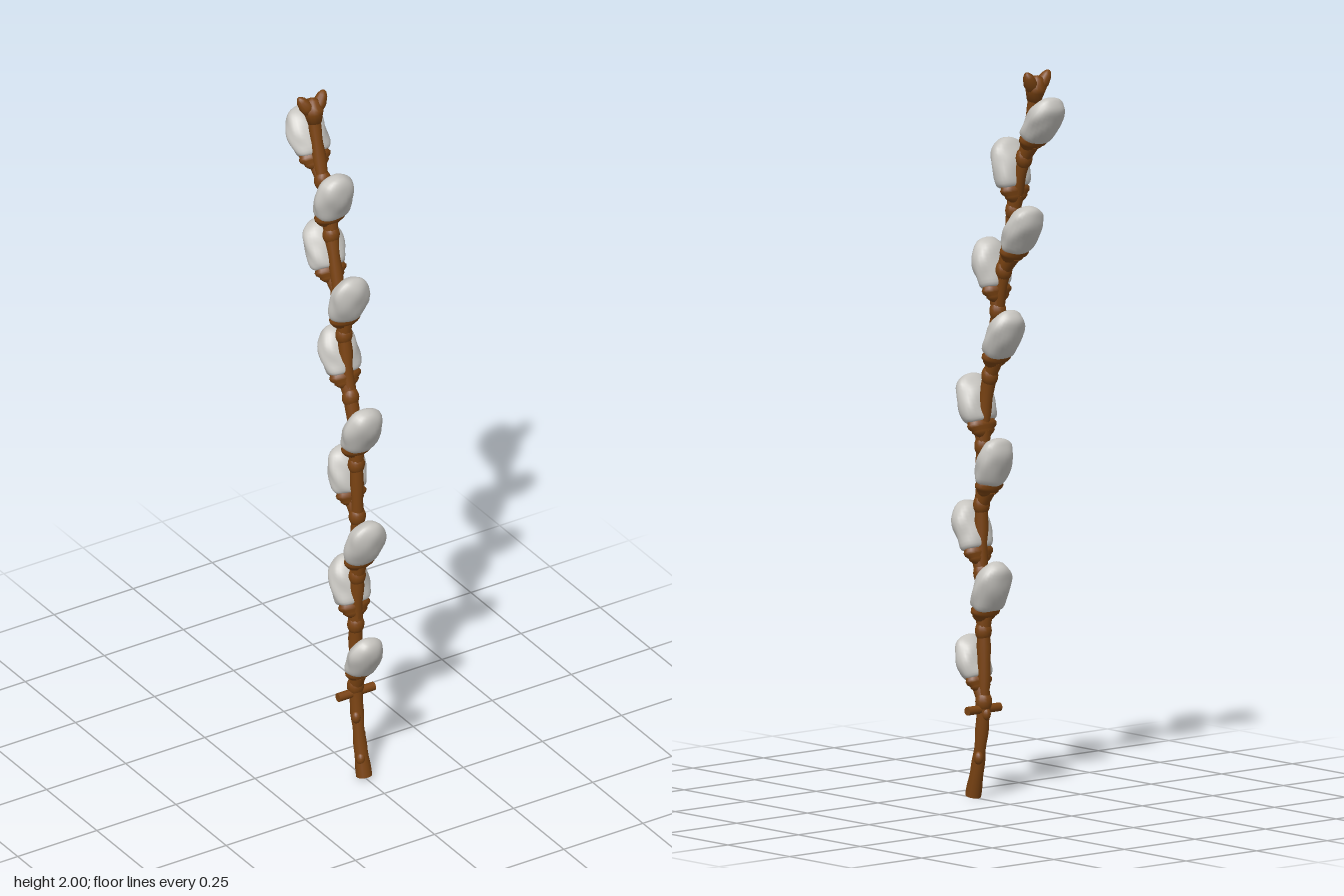
import * as THREE from 'three';
import { mergeVertices } from 'three/addons/utils/BufferGeometryUtils.js';

const bark = new THREE.MeshStandardMaterial({ color: 0x7a4312 });
bark.name = 'brown bark';
const fur = new THREE.MeshStandardMaterial({ color: 0xc6c4bf });
fur.name = 'silver fur';

// stem centre line, as [y, z]
const path = new THREE.CatmullRomCurve3(
  [[0.007, 0.15], [0.12, 0.125], [0.25, 0.108], [0.4, 0.106], [0.6, 0.115], [0.78, 0.116], [0.97, 0.11], [1.1, 0.095],
    [1.2, 0.07], [1.34, 0.048], [1.5, 0.012], [1.66, -0.027], [1.79, -0.066], [1.92, -0.098], [1.96, -0.105]]
    .map(([y, z]) => new THREE.Vector3(0, y, z)));

function stemZ(y) {
  let lo = 0, hi = 1;
  for (let i = 0; i < 24; i++) {
    const mid = (lo + hi) / 2;
    if (path.getPoint(mid).y < y) lo = mid; else hi = mid;
  }
  return path.getPoint(lo).z;
}

function mesh(name, geometry, material, parent) {
  const m = new THREE.Mesh(geometry, material);
  m.name = name;
  parent.add(m);
  return m;
}

const lathe = (pts, n) => new THREE.LatheGeometry(pts.map(([r, y]) => new THREE.Vector2(r, y)), n);

// tapered tube: radius(t) sets the thickness along the curve, with closed ends
function branch(name, curve, rings, sides, radius, parent) {
  const g = new THREE.TubeGeometry(curve, rings, 1, sides);
  const p = g.attributes.position, v = new THREE.Vector3();
  for (let i = 0; i < p.count; i++) {
    const t = Math.floor(i / (sides + 1)) / rings;
    const c = curve.getPointAt(t);
    v.fromBufferAttribute(p, i).sub(c).multiplyScalar(radius(t)).add(c);
    p.setXYZ(i, v.x, v.y, v.z);
  }
  mesh(name, g, bark, parent);
  for (const t of [0, 1]) {
    const cap = mesh(name + 'End', new THREE.CircleGeometry(radius(t), sides), bark, parent);
    cap.position.copy(curve.getPointAt(t));
    const dir = curve.getTangentAt(t).multiplyScalar(t ? 1 : -1);
    cap.quaternion.setFromUnitVectors(new THREE.Vector3(0, 0, 1), dir);
  }
}

// furry catkin: blunt base, rounded tip, broad in x, with soft lumps
function catkinGeometry(seed) {
  const profile = new THREE.SplineCurve([[0, -0.066], [0.034, -0.065], [0.05, -0.056], [0.056, -0.03], [0.058, 0],
    [0.054, 0.028], [0.042, 0.052], [0.022, 0.067], [0, 0.071]].map(a => new THREE.Vector2(...a)));
  let g = new THREE.LatheGeometry(profile.getPoints(22).map(q => q.setX(Math.max(q.x, 0))), 28);
  g.deleteAttribute('uv');
  g.deleteAttribute('normal');
  g = mergeVertices(g, 1e-5);
  const p = g.attributes.position;
  for (let i = 0; i < p.count; i++) {
    const x = p.getX(i), y = p.getY(i), z = p.getZ(i);
    const s = 1 + 0.035 * Math.sin(90 * x + seed) * Math.sin(75 * y + 2 * seed) + 0.03 * Math.sin(110 * z + 60 * y + seed);
    p.setXYZ(i, x * s, y * (1 + (s - 1) * 0.4), z * s * 0.66);
  }
  g.computeVertexNormals();
  return g;
}

// ridged bud scale that cups each catkin
const cupGeometry = lathe([[0, -0.108], [0.018, -0.106], [0.03, -0.098], [0.037, -0.091], [0.036, -0.087], [0.046, -0.079],
  [0.048, -0.071], [0.044, -0.065], [0.044, -0.058], [0.03, -0.054], [0, -0.054]], 20);
const nodeGeometry = new THREE.SphereGeometry(1, 14, 10);

function addCatkin(side, y, z, tilt, size, seed, parent) {
  const group = new THREE.Group();
  group.name = side > 0 ? 'frontCatkin' : 'backCatkin';
  group.position.set(0, y, z);
  group.rotation.x = side * tilt;
  group.scale.setScalar(size);
  mesh('catkin', catkinGeometry(seed), fur, group);
  mesh('budScale', cupGeometry, bark, group).scale.z = 0.55;
  parent.add(group);

  // short stalk from the stem into the cup, with a swollen node
  const base = new THREE.Vector3(0, y - 0.085 * size * Math.cos(tilt), z - side * 0.085 * size * Math.sin(tilt));
  const rootY = base.y - 0.045;
  const root = new THREE.Vector3(0, rootY, stemZ(rootY));
  branch('stalk', new THREE.LineCurve3(root, base), 4, 10, t => 0.018 + 0.005 * t, parent);
  const node = mesh('node', nodeGeometry, bark, parent);
  node.position.copy(root);
  node.scale.set(0.024, 0.03, 0.022);
}

export function createModel() {
  const model = new THREE.Group();
  model.name = 'willowBranch';

  // main stem, slightly knobbly and thicker at the cut end
  branch('stem', path, 120, 14, t =>
    0.0175 + 0.004 * Math.exp(-t * 50) + 0.0012 * Math.sin(t * 70) + 0.001 * Math.sin(t * 157), model);

  // catkins, alternating front and back: [side, y, z, tilt, size]
  [[1, 0.382, 0.153, 0.42, 0.9], [-1, 0.583, 0.073, 0.38, 1], [1, 0.738, 0.155, 0.38, 1],
    [-1, 0.922, 0.063, 0.32, 0.96], [1, 1.083, 0.141, 0.38, 1], [-1, 1.273, 0.022, 0.48, 1],
    [1, 1.458, 0.076, 0.3, 1], [-1, 1.565, -0.052, 0.5, 1], [1, 1.738, 0, 0.28, 1], [-1, 1.873, -0.138, 0.62, 1]]
    .forEach(([side, y, z, tilt, size], i) => addCatkin(side, y, z, tilt, size, i * 1.7, model));

  // cross peg near the foot
  const peg = mesh('crossTwig', new THREE.CylinderGeometry(0.012, 0.012, 0.114, 12), bark, model);
  peg.position.set(0, 0.247, 0.108);
  peg.rotation.z = Math.PI / 2;

  // small knobs on the lower stem
  [[0.115, 0.012, -0.012], [0.06, -0.008, 0.008], [0.18, -0.01, 0.01], [0.235, 0, -0.012]].forEach(([y, x, dz]) => {
    const knob = mesh('knob', nodeGeometry, bark, model);
    knob.position.set(x, y, stemZ(y) + dz);
    knob.scale.set(0.013, 0.018, 0.013);
  });

  // forked bud at the tip
  const tip = new THREE.Group();
  tip.name = 'tipBud';
  tip.position.set(0, 1.95, -0.103);
  tip.rotation.x = -0.2;
  mesh('tipCore', lathe([[0, -0.035], [0.019, -0.032], [0.026, -0.005], [0.029, 0.006], [0.022, 0.018], [0.016, 0.034], [0, 0.04]], 14), bark, tip);
  for (const s of [-1, 1]) {
    const horn = mesh('tipScale', lathe([[0, -0.03], [0.016, -0.024], [0.019, 0], [0.014, 0.022], [0.007, 0.033], [0, 0.036]], 12), bark, tip);
    horn.position.set(s * 0.022, 0.02, 0);
    horn.rotation.z = -s * 0.55;
  }
  model.add(tip);
  return model;
}
